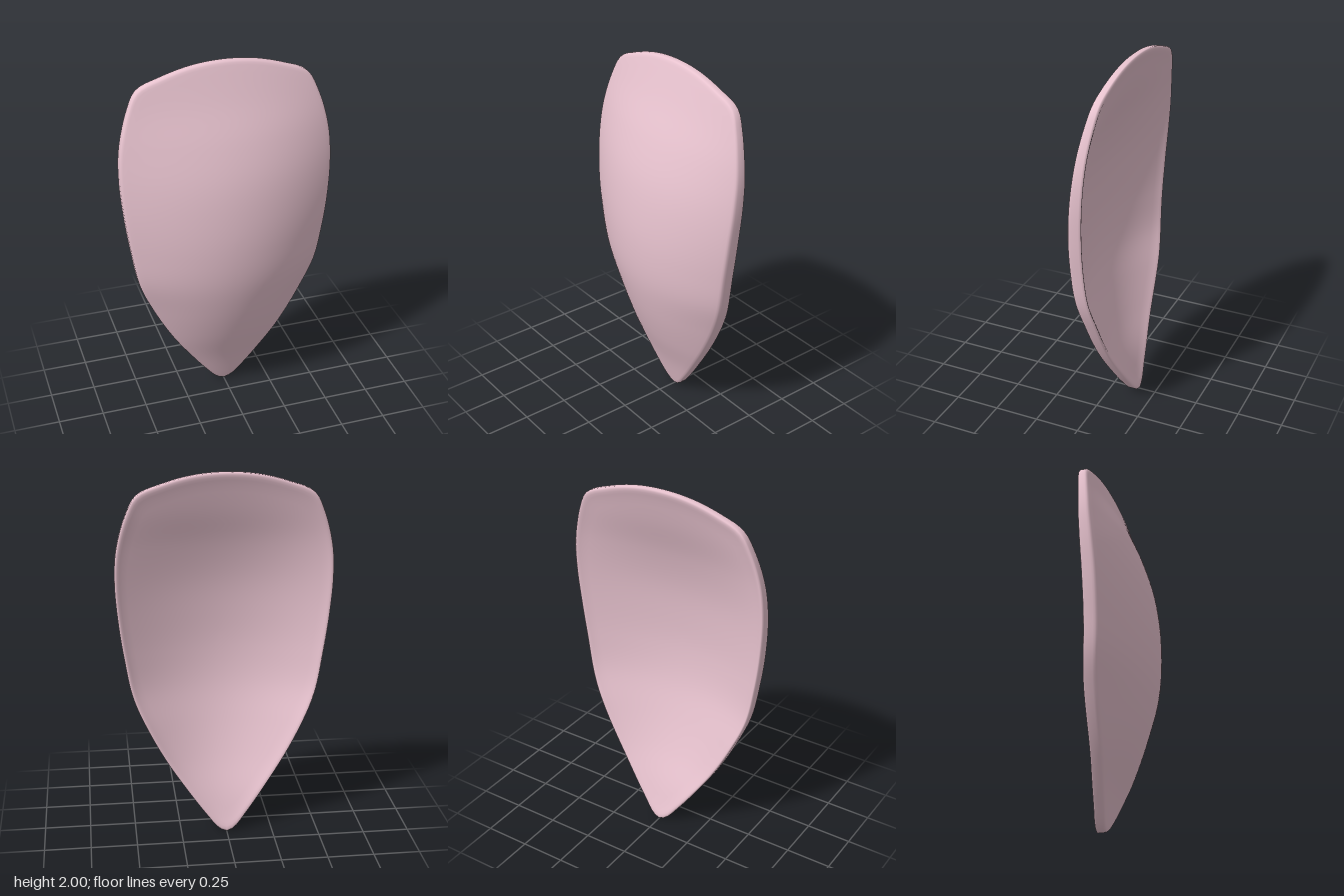
import * as THREE from 'three';

// Smooth function of height from values listed every 0.2 units, y = 0..2
function byHeight(values) {
  const heights = values.map((_, i) => i * 0.2);
  const spline = new THREE.CubicInterpolant(heights, values, 1);
  return (y) => spline.evaluate(THREE.MathUtils.clamp(y, 0, 1.99999))[0];
}

// Front ridge depth, sideways curvature and plate thickness
const ridge = byHeight([-0.105, -0.04, 0.04, 0.105, 0.15, 0.165, 0.156, 0.125, 0.065, -0.015, -0.087]);
const bend = byHeight([0.8, 0.8, 0.8, 0.74, 0.62, 0.56, 0.49, 0.42, 0.32, 0.2, 0.12]);
const thickness = byHeight([0.055, 0.06, 0.065, 0.07, 0.07, 0.07, 0.07, 0.065, 0.057, 0.05, 0.042]);
const frontZ = (x, y) => ridge(y) - bend(y) * x * x;

// Closed outline, counter-clockwise from the bottom tip
function outlinePoints(count) {
  const half = [
    [0.045, 0.022], [0.11, 0.1], [0.19, 0.21], [0.315, 0.4], [0.42, 0.6], [0.495, 0.785],
    [0.535, 1.0], [0.561, 1.2], [0.575, 1.42], [0.563, 1.6], [0.51, 1.79],
    [0.455, 1.89], [0.33, 1.944], [0.17, 1.986],
  ];
  const right = half.map(([x, y]) => new THREE.Vector3(x, y, 0));
  const left = half.map(([x, y]) => new THREE.Vector3(-x, y, 0)).reverse();
  const loop = [new THREE.Vector3(0, 0, 0), ...right, new THREE.Vector3(0, 2, 0), ...left];
  return new THREE.CatmullRomCurve3(loop, true, 'centripetal').getSpacedPoints(count).slice(0, count);
}

function plateGeometry() {
  const count = 160;
  const centreY = 1.1;
  const outline = outlinePoints(count);

  // Rings as [scale, depth through the plate]: front, rounded rim, hollow back
  const rings = [];
  for (let i = 1; i <= 24; i++) rings.push([(i / 24) * 0.975, 0]);
  rings.push([0.988, 0.02], [0.996, 0.08], [1, 0.22], [1, 0.5], [1, 0.8]);
  rings.push([0.996, 0.95], [0.986, 1.04], [0.972, 1.06], [0.955, 1.04]);
  for (let i = 23; i >= 1; i--) rings.push([(i / 24) * 0.965, 1]);

  const positions = [0, centreY, frontZ(0, centreY)];
  for (const [scale, depth] of rings) {
    for (const p of outline) {
      const x = p.x * scale;
      const y = centreY + (p.y - centreY) * scale;
      positions.push(x, y, frontZ(x, y) - depth * thickness(y));
    }
  }
  const last = positions.length / 3;
  positions.push(0, centreY, frontZ(0, centreY) - thickness(centreY));

  const index = [];
  const at = (ring, i) => 1 + ring * count + (i % count);
  for (let i = 0; i < count; i++) {
    index.push(0, at(0, i), at(0, i + 1));
    for (let r = 0; r < rings.length - 1; r++) {
      index.push(at(r, i), at(r + 1, i), at(r + 1, i + 1));
      index.push(at(r, i), at(r + 1, i + 1), at(r, i + 1));
    }
    index.push(at(rings.length - 1, i), last, at(rings.length - 1, i + 1));
  }

  const geometry = new THREE.BufferGeometry();
  geometry.setAttribute('position', new THREE.Float32BufferAttribute(positions, 3));
  geometry.setIndex(index);
  geometry.computeVertexNormals();
  return geometry;
}

export function createModel() {
  const group = new THREE.Group();
  group.name = 'curvedShield';
  const material = new THREE.MeshStandardMaterial({ color: 0xe8c3cf });
  const plate = new THREE.Mesh(plateGeometry(), material);
  plate.name = 'shieldPlate';
  group.add(plate);
  return group;
}
